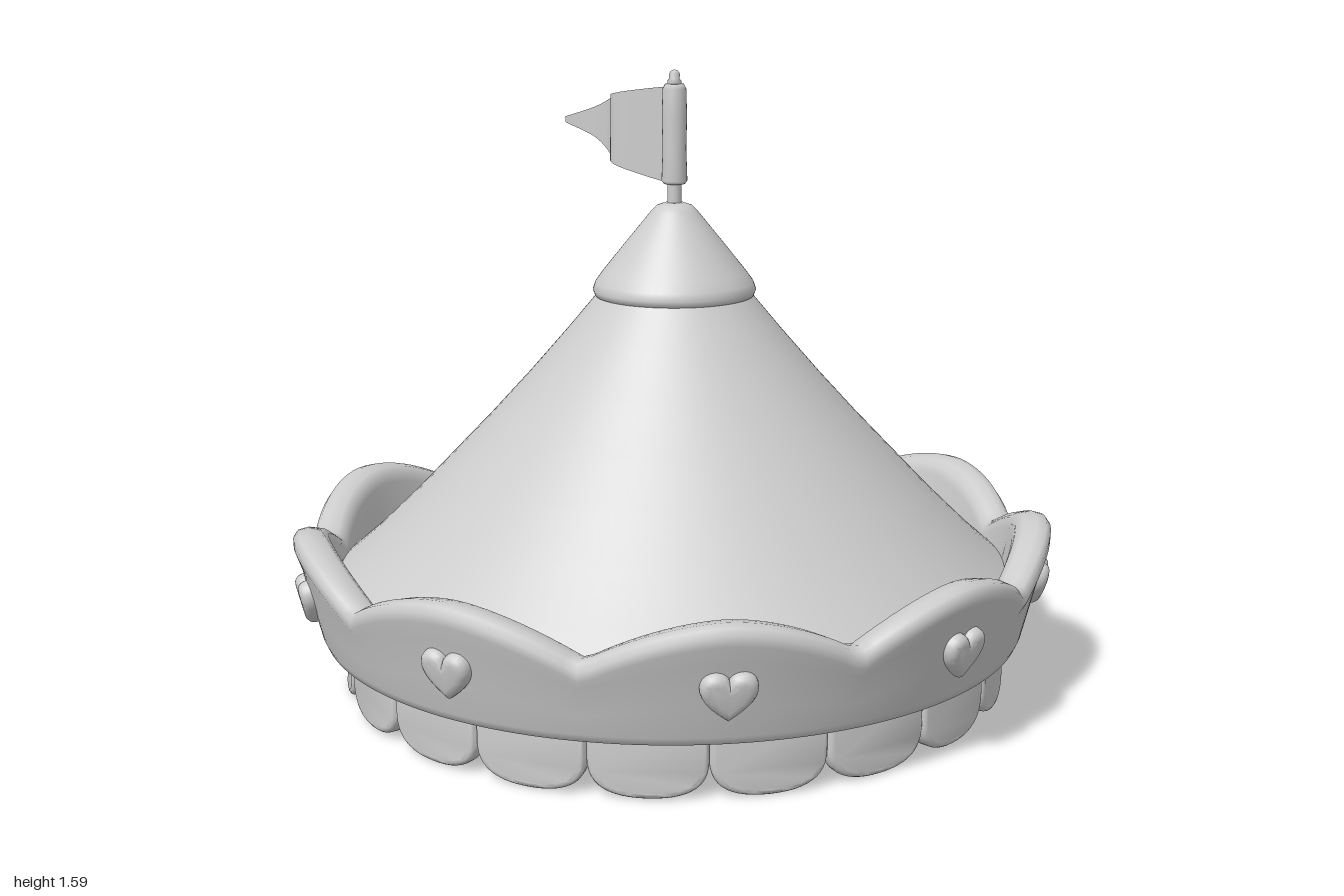
import * as THREE from 'three';
import { toCreasedNormals } from 'three/addons/utils/BufferGeometryUtils.js';

const mix = THREE.MathUtils.lerp;
const rad = THREE.MathUtils.degToRad;

// Directions of the band's crests, clockwise from the front
const CRESTS = [0, 38, 78, 119, 160, 200, 241, 282, 322, 360];

// Grid of points point(i, j), i along the length, j around the section
function gridGeometry(ni, nj, closeI, closeJ, point) {
  const pos = [], idx = [];
  for (let i = 0; i < ni; i++) for (let j = 0; j < nj; j++) pos.push(...point(i, j));
  for (let i = 0; i < (closeI ? ni : ni - 1); i++) {
    for (let j = 0; j < (closeJ ? nj : nj - 1); j++) {
      const a = i * nj + j, b = ((i + 1) % ni) * nj + j;
      const c = ((i + 1) % ni) * nj + (j + 1) % nj, d = i * nj + (j + 1) % nj;
      idx.push(a, b, c, a, c, d);
    }
  }
  const g = new THREE.BufferGeometry();
  g.setAttribute('position', new THREE.Float32BufferAttribute(pos, 3));
  g.setIndex(idx);
  g.computeVertexNormals();
  return g;
}

const lathe = (pts, n = 72) =>
  new THREE.LatheGeometry(pts.map(p => new THREE.Vector2(...p)), n);

// Height of the band's scalloped rim at an angle in degrees
function rimHeight(deg) {
  let k = 0;
  while (k < CRESTS.length - 2 && deg >= CRESTS[k + 1]) k++;
  const t = (deg - CRESTS[k]) / (CRESTS[k + 1] - CRESTS[k]);
  const d = 2 * Math.min(t, 1 - t);
  return 0.46 - 0.1 * Math.pow(d, 1.8);
}

function bandGeometry() {
  // Section: radius shift, side (1 outer, 0 inner), height fraction, height shift
  const section = [
    [-0.02, 1, 0, 0], [-0.004, 1, 0, 0.006], [0, 1, 0, 0.025], [0, 1, 0.35, 0],
    [0, 1, 0.7, 0], [0.005, 1, 1, -0.045], [0, 1, 1, -0.022], [-0.015, 1, 1, -0.006],
    [-0.04, 1, 1, 0], [0.02, 0, 1, -0.005], [0.004, 0, 1, -0.02], [0, 0, 1, -0.045],
    [0, 0, 0.5, 0], [0, 0, 0, 0.02], [0.02, 0, 0, 0],
  ];
  const n = 216, y0 = 0.155;
  return gridGeometry(n, section.length, true, true, (i, j) => {
    const deg = i * 360 / n, a = rad(deg);
    const [dr, side, f, dy] = section[j];
    const y = mix(y0, rimHeight(deg), f) + dy;
    const lean = (y - y0) / 0.3;
    const r = (side ? 0.915 + 0.075 * lean : 0.84 + 0.055 * lean) + dr - 0.01 * Math.cos(a);
    return [r * Math.sin(a), y, r * Math.cos(a)];
  });
}

function heartGeometry() {
  const s = new THREE.Shape();
  s.moveTo(0, -0.058);
  s.bezierCurveTo(-0.03, -0.035, -0.062, -0.01, -0.062, 0.022);
  s.bezierCurveTo(-0.062, 0.062, -0.012, 0.066, 0, 0.034);
  s.bezierCurveTo(0.012, 0.066, 0.062, 0.062, 0.062, 0.022);
  s.bezierCurveTo(0.062, -0.01, 0.03, -0.035, 0, -0.058);
  const g = new THREE.ExtrudeGeometry(s, {
    depth: 0.02, curveSegments: 10, bevelSize: 0.022, bevelOffset: -0.018,
    bevelThickness: 0.022, bevelSegments: 4,
  });
  return toCreasedNormals(g, 0.9);
}

// Rounded hanging tab, bent to follow the ring
function tabGeometry(radius, halfWidth) {
  const s = new THREE.Shape(), w = halfWidth, b = 0.015;
  s.moveTo(w, 0.2);
  s.lineTo(-w, 0.2);
  s.lineTo(-w, 0.1);
  s.bezierCurveTo(-w, 0.03, -w * 0.6, 0.01, 0, 0.01);
  s.bezierCurveTo(w * 0.6, 0.01, w, 0.03, w, 0.1);
  s.lineTo(w, 0.2);
  const g = new THREE.ExtrudeGeometry(s, {
    depth: 0.025, curveSegments: 12, bevelSize: b, bevelOffset: -b,
    bevelThickness: b, bevelSegments: 4,
  });
  const p = g.attributes.position;
  for (let i = 0; i < p.count; i++) {
    const a = p.getX(i) / radius, r = radius - 0.04 + p.getZ(i);
    p.setXYZ(i, r * Math.sin(a), p.getY(i), r * Math.cos(a));
  }
  return toCreasedNormals(g, 0.9);
}

function flagGeometry() {
  const curve = pts => new THREE.CatmullRomCurve3(pts.map(p => new THREE.Vector3(...p)));
  const top = curve([[0, 1.555, -0.02], [-0.015, 1.545, -0.1], [-0.035, 1.53, -0.19],
    [0.015, 1.512, -0.25], [0.024, 1.485, -0.32], [0, 1.455, -0.41]]);
  const bottom = curve([[0, 1.31, -0.02], [-0.015, 1.325, -0.1], [-0.037, 1.35, -0.19],
    [0.01, 1.37, -0.25], [0.024, 1.405, -0.32], [0, 1.44, -0.41]]);
  return gridGeometry(31, 5, false, false, (i, j) =>
    bottom.getPoint(i / 30).lerp(top.getPoint(i / 30), j / 4).toArray());
}

export function createModel() {
  const group = new THREE.Group();
  const grey = new THREE.MeshStandardMaterial({ color: 0xcccccc });
  grey.name = 'plainGrey';
  const greyThin = grey.clone();
  greyThin.name = 'plainGreyThin';
  greyThin.side = THREE.DoubleSide;
  const add = (name, geometry, material = grey, parent = group) => {
    const m = new THREE.Mesh(geometry, material);
    m.name = name;
    parent.add(m);
    return m;
  };

  // Roof cone with a slight sweep
  add('roof', lathe([[0.89, 0.3], [0.8, 0.378], [0.68, 0.495], [0.58, 0.6], [0.48, 0.705],
    [0.38, 0.815], [0.28, 0.93], [0.18, 1.05]], 96), greyThin);

  // Pleated lining underneath
  add('lining', gridGeometry(144, 9, true, false, (i, j) => {
    const a = i * Math.PI * 2 / 144, f = j / 8, r = 0.87 * f;
    const pleat = Math.sin(a * 18) + 0.6 * Math.sin(a * 11 + 1);
    return [r * Math.sin(a), 0.155 + 0.03 * f + 0.022 * pleat * Math.sin(Math.PI * f), r * Math.cos(a)];
  }), greyThin);

  // Cap
  add('cap', lathe([[0, 1.02], [0.185, 1.02], [0.204, 1.025], [0.21, 1.04], [0.203, 1.06],
    [0.185, 1.085], [0.125, 1.16], [0.06, 1.24], [0.045, 1.255], [0.025, 1.262], [0, 1.263]]));

  // Pole with finial, and the flag sleeve around it
  add('pole', lathe([[0.018, 1.25], [0.018, 1.57], [0.013, 1.575], [0.014, 1.587],
    [0.009, 1.595], [0, 1.598]], 20));
  add('flagSleeve', lathe([[0, 1.31], [0.027, 1.31], [0.033, 1.318], [0.03, 1.4],
    [0.032, 1.48], [0.03, 1.55], [0.024, 1.562], [0, 1.564]], 24));
  add('flag', flagGeometry(), greyThin);

  // Scalloped band
  add('scallopedBand', bandGeometry());

  // A puffy heart below every crest
  const heart = heartGeometry();
  for (const deg of CRESTS.slice(0, -1)) {
    const pivot = new THREE.Group();
    pivot.name = 'heartMount';
    pivot.rotation.y = rad(deg);
    const m = add('heart', heart, grey, pivot);
    m.position.set(0, 0.295, 0.935 - 0.01 * Math.cos(rad(deg)));
    m.rotation.x = 0.24;
    group.add(pivot);
  }

  // Hanging tabs
  const tabs = 19, tab = tabGeometry(0.865, 0.865 * Math.PI / tabs);
  for (let i = 0; i < tabs; i++) {
    add('valanceTab', tab).rotation.y = (i + 0.5) * Math.PI * 2 / tabs - 0.035;
  }
  return group;
}
